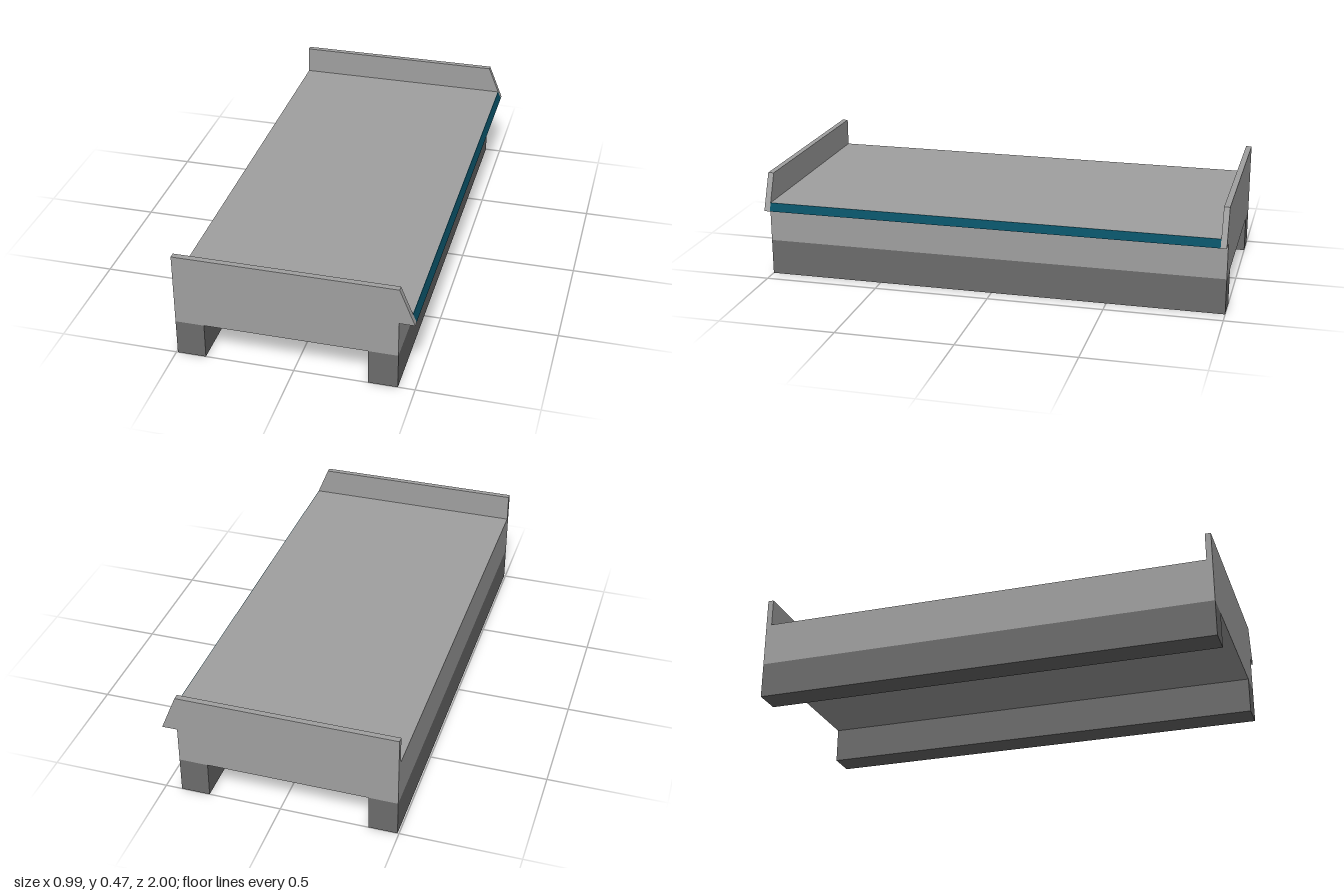
import * as THREE from 'three';

export function createModel() {
  const group = new THREE.Group();
  const material = (name, color) => {
    const m = new THREE.MeshStandardMaterial({ color });
    m.name = name;
    return m;
  };
  const concrete = material('light grey concrete', 0xa0a0a0);
  const footing = material('dark grey footing', 0x6c6c6c);
  const teal = material('deep teal edge', 0x084f64);

  // Extrudes an x/y cross-section along z, from z0 to z1
  const addProfile = (name, points, z0, z1, mat) => {
    const shape = new THREE.Shape(points.map(([x, y]) => new THREE.Vector2(x, y)));
    const geometry = new THREE.ExtrudeGeometry(shape, { depth: z1 - z0, bevelEnabled: false });
    geometry.translate(0, 0, z0);
    const mesh = new THREE.Mesh(geometry, mat);
    mesh.name = name;
    group.add(mesh);
  };

  const back = -0.494, face = 0.43, tip = 0.494; // x positions
  const base = 0.155, lip = 0.31, deck = 0.345, top = 0.466; // y positions
  const inner = 0.975, plate = 0.002;
  const deckEdge = tip - (tip - face) * (deck - lip) / (top - lip);

  // Deck with its overhanging lip
  addProfile('deck', [
    [back, base], [face, base], [face, lip],
    [tip - plate, lip], [deckEdge - plate, deck], [back, deck],
  ], -inner, inner, concrete);

  // Coloured sloping edge of the lip
  addProfile('edgeStrip', [
    [tip - plate, lip], [tip, lip], [deckEdge, deck], [deckEdge - plate, deck],
  ], -inner, inner, teal);

  // End walls with a sloping nose
  const wall = [[back, base], [face, base], [face, lip], [tip, lip], [face, top], [back, top]];
  addProfile('frontEndWall', wall, inner, 1, concrete);
  addProfile('backEndWall', wall, -1, -inner, concrete);

  // Two full-length footings
  for (const [name, x0, x1] of [['rightFooting', back, -0.373], ['leftFooting', 0.308, face]]) {
    addProfile(name, [[x0, 0], [x1, 0], [x1, base], [x0, base]], -1, 1, footing);
  }
  return group;
}
